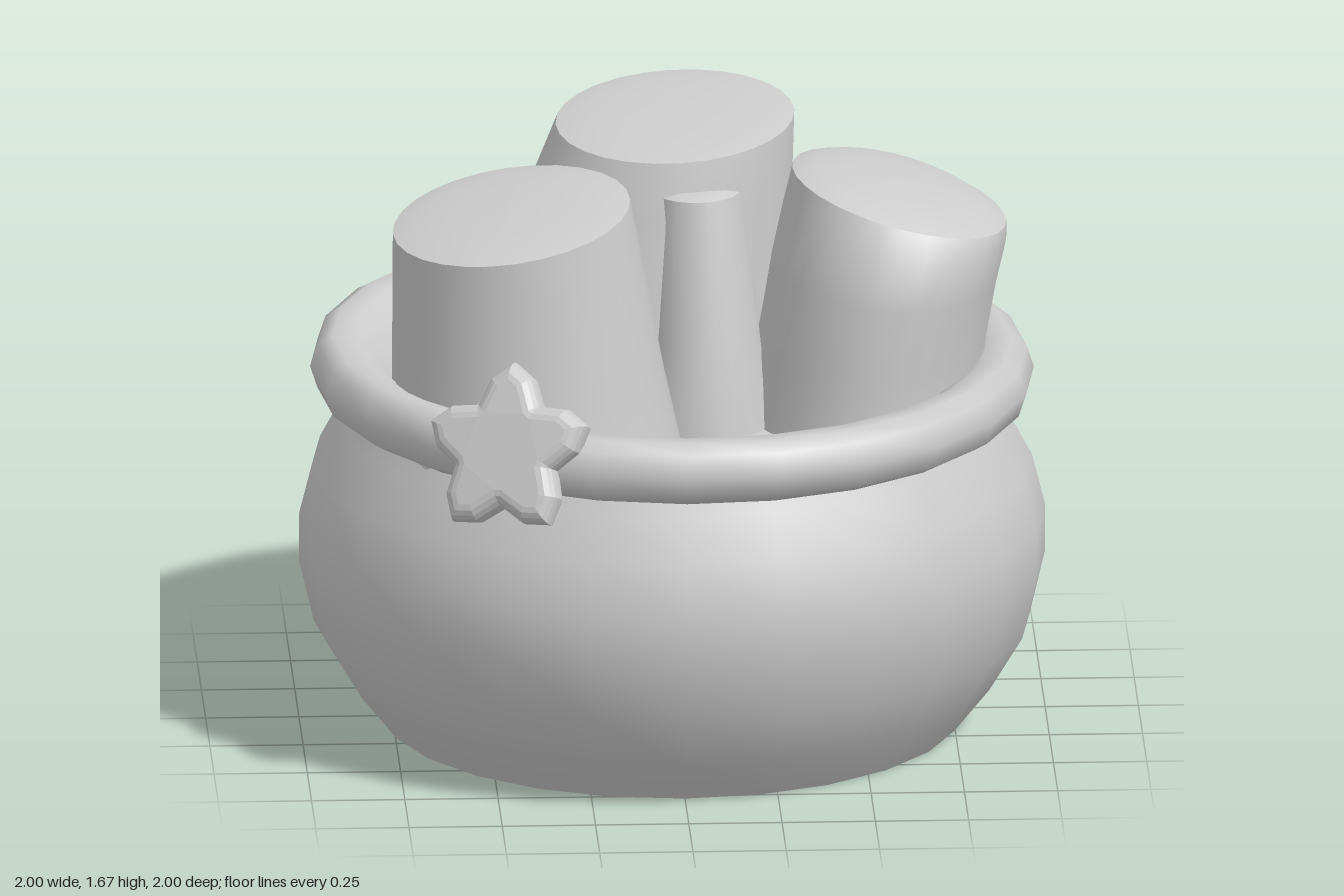
import * as THREE from 'three';

// Double sided, as the pot is open underneath
const clay = new THREE.MeshStandardMaterial({ color: 0xcccccc, side: THREE.DoubleSide });
clay.name = 'plain grey clay';

function add(group, name, geometry) {
  const mesh = new THREE.Mesh(geometry, clay);
  mesh.name = name;
  group.add(mesh);
  return mesh;
}

function lathe(points) {
  return new THREE.LatheGeometry(points.map(([r, y]) => new THREE.Vector2(r, y)), 24);
}

// Tapered roll lofted through ellipses [cx, y, cz, rx, rz]; the last is tilted by (slopeX, slopeZ)
// and closed with a low domed cap that has its own vertices, so the top edge stays sharp.
function roll(sections, slopeX, slopeZ, dome) {
  const sides = 28, positions = [], index = [];
  const last = sections.length - 1;
  const top = sections[last];
  const rings = sections.map((s, j) => ({ s, scale: 1, lift: 0, tilt: (j / last) ** 2 }));
  const bodyRings = rings.length;
  for (const [scale, lift] of [[1, 0], [0.8, 0.6], [0.45, 0.9], [0, 1]]) {
    rings.push({ s: top, scale, lift: lift * dome, tilt: 1 });
  }
  for (const { s: [cx, y, cz, rx, rz], scale, lift, tilt } of rings) {
    for (let i = 0; i < sides; i++) {
      const a = (i / sides) * Math.PI * 2;
      const dx = Math.cos(a) * rx * scale, dz = Math.sin(a) * rz * scale;
      positions.push(cx + dx, y + lift + tilt * (slopeX * dx + slopeZ * dz), cz + dz);
    }
  }
  for (let j = 0; j < rings.length - 1; j++) {
    if (j === bodyRings - 1) continue;
    for (let i = 0; i < sides; i++) {
      const k = (i + 1) % sides;
      const a = j * sides + i, b = j * sides + k, c = a + sides, d = b + sides;
      index.push(a, c, b, b, c, d);
    }
  }
  const geometry = new THREE.BufferGeometry();
  geometry.setAttribute('position', new THREE.Float32BufferAttribute(positions, 3));
  geometry.setIndex(index);
  geometry.computeVertexNormals();
  return geometry;
}

// Puffy five-pointed star with rounded tips, facing +z
function starGeometry() {
  const pts = [];
  for (let i = 0; i < 5; i++) {
    const a = Math.PI / 2 + (i / 5) * Math.PI * 2;
    for (const [r, da] of [[0.172, -0.16], [0.19, 0], [0.172, 0.16], [0.112, 0.53], [0.112, 0.727]]) {
      pts.push(new THREE.Vector2(Math.cos(a + da) * r, Math.sin(a + da) * r));
    }
  }
  const geometry = new THREE.ExtrudeGeometry(new THREE.Shape(pts), {
    depth: 0.02, bevelEnabled: true, bevelThickness: 0.045, bevelSize: 0.04, bevelSegments: 4,
  });
  geometry.translate(0, 0, -0.01);
  // Thin the tips
  const p = geometry.attributes.position;
  for (let i = 0; i < p.count; i++) {
    const r = Math.hypot(p.getX(i), p.getY(i));
    p.setZ(i, p.getZ(i) * (1.1 - 1.2 * r));
  }
  geometry.computeVertexNormals();
  return geometry;
}

export function createModel() {
  const model = new THREE.Group();
  model.name = 'potOfRolls';

  // Round-bellied pot wall, open underneath
  add(model, 'potBody', lathe([
    [0.775, 0], [0.87, 0.12], [0.96, 0.27], [1, 0.44], [1, 0.57],
    [0.965, 0.71], [0.9, 0.83], [0.86, 0.92],
  ]));

  // Thick rolled rim, tipped very slightly, falling into the filling
  const rim = lathe([
    [0.86, 0.895], [0.91, 0.885], [0.95, 0.91], [0.97, 0.97], [0.95, 1.03], [0.91, 1.055],
    [0.85, 1.05], [0.79, 1.01], [0.75, 0.95], [0.71, 0.9], [0.64, 0.875], [0.4, 0.87], [0, 0.87],
  ]);
  const p = rim.attributes.position;
  for (let i = 0; i < p.count; i++) {
    p.setY(i, p.getY(i) - 0.014 * p.getX(i) - 0.018 * p.getZ(i));
  }
  add(model, 'rimAndFilling', rim);

  // Three stubby rolls standing in the pot
  add(model, 'leftRoll', roll([
    [-0.38, 0.86, 0.31, 0.39, 0.385],
    [-0.4, 1.05, 0.315, 0.365, 0.355],
    [-0.445, 1.5, 0.325, 0.318, 0.325],
  ], 0.14, -0.1, 0.025));
  add(model, 'backRoll', roll([
    [-0.13, 0.86, -0.22, 0.49, 0.48],
    [-0.1, 1.05, -0.19, 0.44, 0.42],
    [-0.02, 1.45, -0.165, 0.35, 0.34],
    [0.015, 1.62, -0.16, 0.32, 0.295],
  ], 0.05, -0.13, 0.02));
  add(model, 'rightRoll', roll([
    [0.51, 0.86, -0.06, 0.34, 0.5],
    [0.525, 1.05, 0, 0.315, 0.425],
    [0.565, 1.25, 0.03, 0.305, 0.4],
    [0.595, 1.38, 0.03, 0.3, 0.365],
    [0.608, 1.455, 0.025, 0.287, 0.315],
  ], -0.27, -0.02, 0.045));

  // Fold joining the front of the back roll to the rolls beside it
  add(model, 'middleFold', roll([
    [0.08, 0.86, 0.1, 0.2, 0.22],
    [0.075, 1.1, 0.1, 0.155, 0.19],
    [0.06, 1.49, 0.06, 0.125, 0.14],
  ], 0, 0, 0.02));

  // Star resting on the front of the rim
  const star = add(model, 'star', starGeometry());
  star.position.set(-0.475, 0.995, 0.82);
  star.rotation.set(-0.42, -0.5, 0.1, 'YXZ');

  return model;
}
